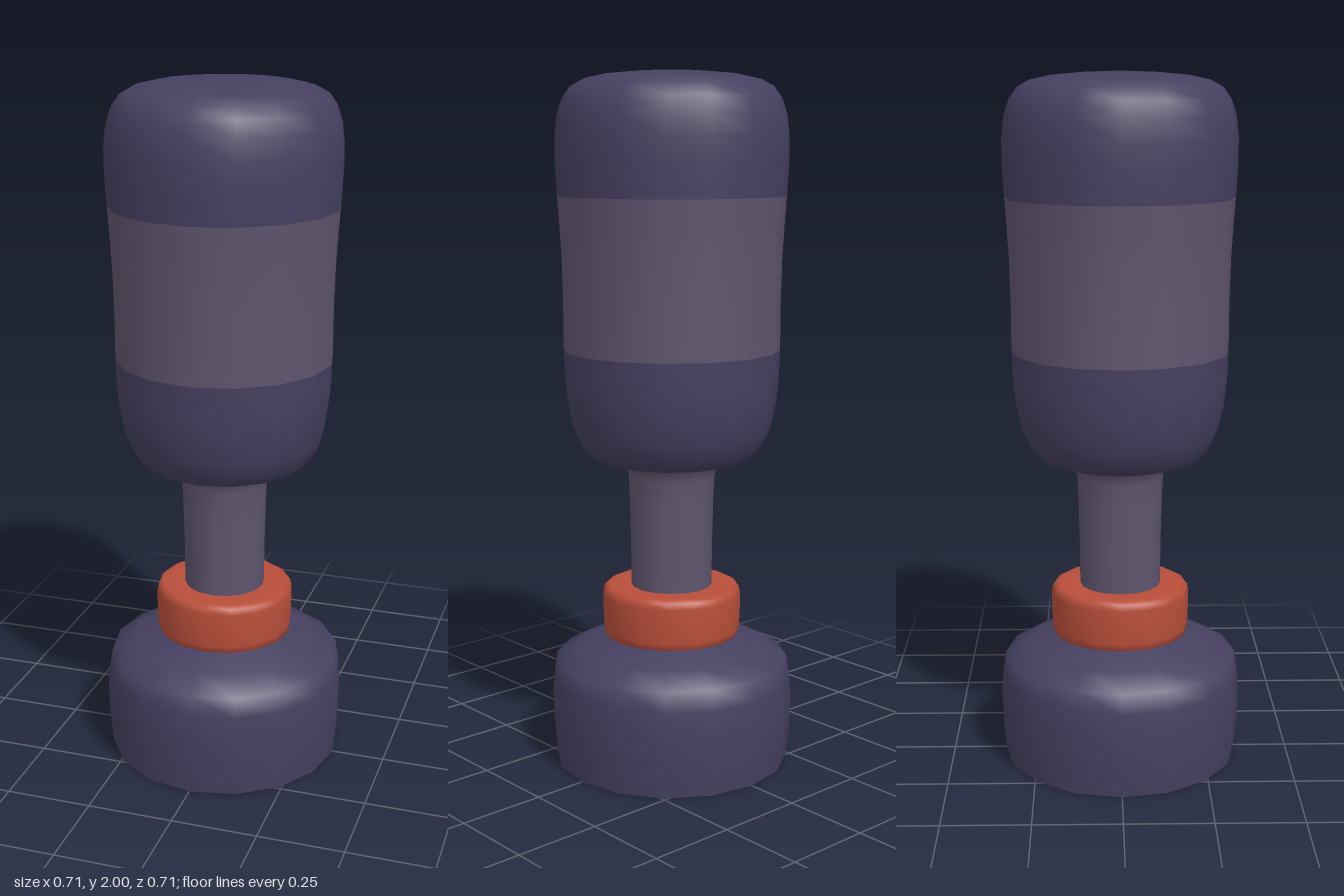
import * as THREE from 'three';

const SIDES = 16;

// Turned shell from [radius, height] points listed bottom to top
function turned(name, color, profile) {
  const points = profile.map(([r, y]) => new THREE.Vector2(r, y));
  const material = new THREE.MeshStandardMaterial({ color, side: THREE.DoubleSide });
  const mesh = new THREE.Mesh(new THREE.LatheGeometry(points, SIDES), material);
  mesh.name = name;
  return mesh;
}

export function createModel() {
  const dark = 0x464060, mid = 0x5e546c, red = 0xb84e3a;
  const model = new THREE.Group();
  model.name = 'turnedHandle';

  model.add(
    // Hollow foot, open underneath
    turned('base', dark, [
      [0.343, 0], [0.352, 0.09], [0.355, 0.18], [0.35, 0.25], [0.34, 0.308],
      [0.27, 0.345], [0.21, 0.367], [0.185, 0.378],
    ]),
    // Coloured ring with softened edges
    turned('collar', red, [
      [0.185, 0.376], [0.197, 0.38], [0.2, 0.4], [0.202, 0.45], [0.202, 0.5],
      [0.198, 0.518], [0.185, 0.526], [0.15, 0.526], [0.118, 0.525],
    ]),
    // Slim neck, flaring into the grip
    turned('neck', mid, [
      [0.118, 0.525], [0.119, 0.65], [0.122, 0.78], [0.125, 0.85],
      [0.132, 0.877], [0.145, 0.89], [0.165, 0.896],
    ]),
    // Rounded lower part of the grip
    turned('gripLower', dark, [
      [0.165, 0.896], [0.2, 0.899], [0.235, 0.912], [0.262, 0.94], [0.285, 0.99],
      [0.3, 1.06], [0.308, 1.13], [0.311, 1.22],
    ]),
    // Lighter middle band
    turned('gripBand', mid, [
      [0.311, 1.22], [0.311, 1.35], [0.314, 1.48], [0.319, 1.57], [0.325, 1.655],
    ]),
    // Rounded top cap
    turned('gripCap', dark, [
      [0.325, 1.655], [0.33, 1.75], [0.33, 1.82], [0.323, 1.88], [0.308, 1.925],
      [0.285, 1.957], [0.25, 1.976], [0.19, 1.989], [0.1, 1.997], [0, 2],
    ]),
  );
  return model;
}
